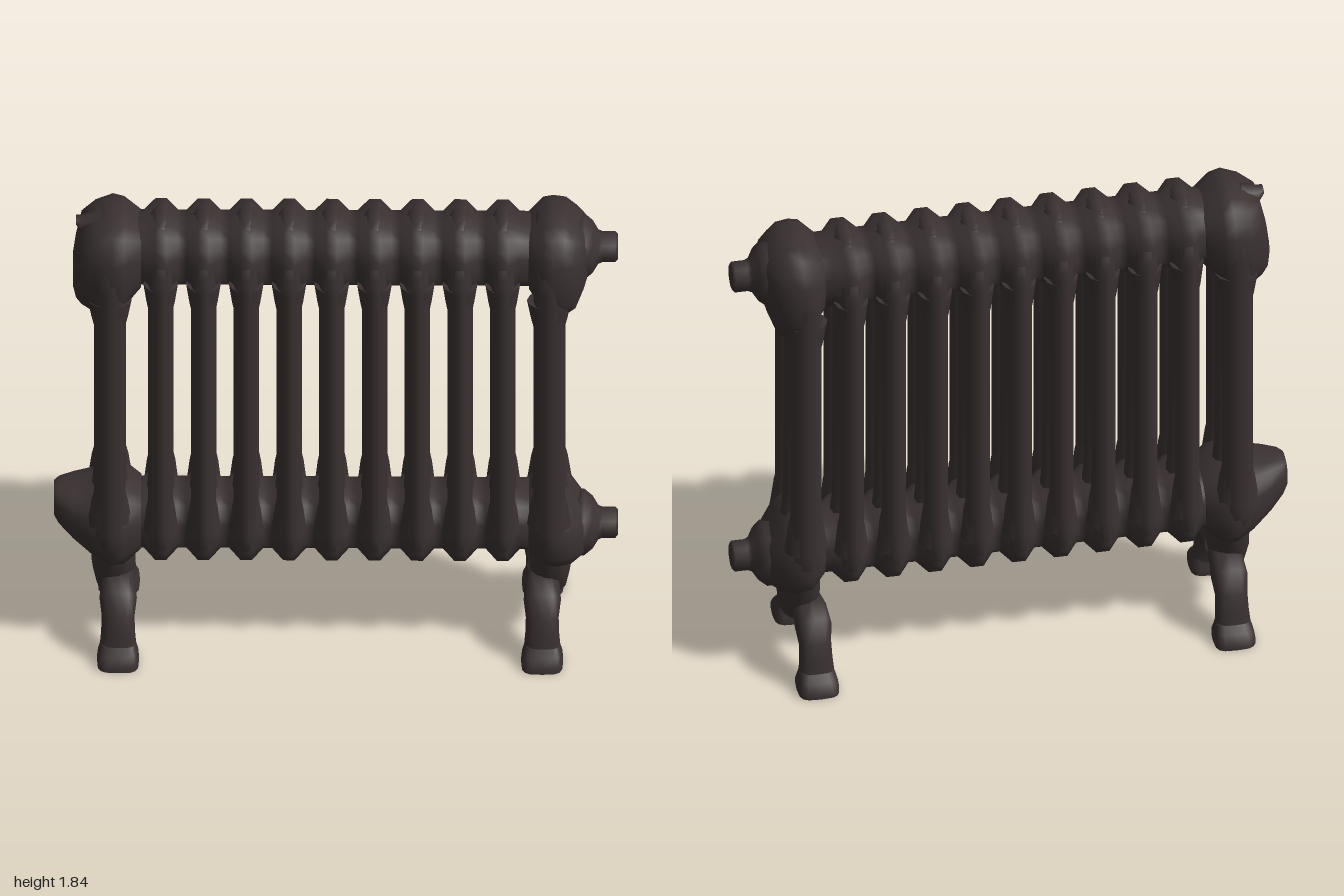
import * as THREE from 'three';

const iron = new THREE.MeshStandardMaterial({ color: 0x3a3131 });
iron.name = 'darkIron';

function add(parent, geometry, name) {
  const mesh = new THREE.Mesh(geometry, iron);
  mesh.name = name;
  parent.add(mesh);
  return mesh;
}

// Skin a list of closed rings (arrays of Vector3) and cap both ends.
function loft(rings) {
  const n = rings[0].length, pos = [];
  let idx = [];
  rings.forEach(r => r.forEach(p => pos.push(p.x, p.y, p.z)));
  for (let i = 0; i < rings.length - 1; i++) {
    for (let j = 0; j < n; j++) {
      const a = i * n + j, b = i * n + (j + 1) % n;
      idx.push(a, b, a + n, b, b + n, a + n);
    }
  }
  [rings[0], rings[rings.length - 1]].forEach((r, k) => {
    const base = pos.length / 3;
    r.forEach(p => pos.push(p.x, p.y, p.z));
    for (let j = 1; j < n - 1; j++) {
      if (k) idx.push(base, base + j, base + j + 1);
      else idx.push(base, base + j + 1, base + j);
    }
  });
  // Turn the skin outward if its signed volume is negative.
  let volume = 0;
  const v = i => new THREE.Vector3().fromArray(pos, i * 3);
  for (let i = 0; i < idx.length; i += 3) volume += v(idx[i]).dot(v(idx[i + 1]).cross(v(idx[i + 2])));
  if (volume < 0) idx = idx.reverse();
  const g = new THREE.BufferGeometry();
  g.setAttribute('position', new THREE.Float32BufferAttribute(pos, 3));
  g.setIndex(idx);
  g.computeVertexNormals();
  return g;
}

// Rounded cross-section points on the unit circle, squarer for lower powers.
function roundel(n, power) {
  return Array.from({ length: n }, (_, i) => {
    const a = i / n * Math.PI * 2, c = Math.cos(a), s = Math.sin(a);
    return [Math.sign(c) * Math.abs(c) ** power, Math.sign(s) * Math.abs(s) ** power];
  });
}

// Body along x from stations [x, top, bottom, half depth].
function bodyX(stations, power = 0.85, n = 20) {
  return loft(stations.map(([x, top, bottom, hz]) => roundel(n, power).map(([c, s]) =>
    new THREE.Vector3(x, (top + bottom) / 2 + s * (top - bottom) / 2, c * hz))));
}

// Body along y from stations [y, half width, half depth, z centre].
function bodyY(stations, power = 1, n = 12) {
  return loft(stations.map(([y, hx, hz, z = 0]) => roundel(n, power).map(([c, s]) =>
    new THREE.Vector3(c * hx, y, z + s * hz))));
}

// One section: an outer loop, and a slim middle column.
function addSection(parent, x, width, slotLow, slotHigh) {
  const section = new THREE.Group();
  section.name = 'section';
  section.position.x = x;
  const R = 0.145, yTop = 1.64, yLow = 0.53, pts = [];
  for (let i = 0; i <= 10; i++) {
    const a = i / 10 * Math.PI;
    pts.push(new THREE.Vector3(0, yTop + R * Math.sin(a), R * Math.cos(a)));
  }
  for (let i = 0; i <= 10; i++) {
    const a = Math.PI + i / 10 * Math.PI;
    pts.push(new THREE.Vector3(0, yLow + R * Math.sin(a), R * Math.cos(a)));
  }
  const path = new THREE.CurvePath();
  pts.forEach((p, i) => path.add(new THREE.LineCurve3(p, pts[(i + 1) % pts.length])));
  const loop = add(section, new THREE.TubeGeometry(path, 110, 0.054, 10, true), 'outerLoop');
  loop.scale.x = width / 0.054;
  add(section, bodyY([
    [slotLow - 0.08, width * 1.3, 0.08], [slotLow, width * 1.1, 0.058], [slotLow + 0.06, width, 0.046],
    [slotHigh - 0.06, width * 0.92, 0.044], [slotHigh, width * 1.1, 0.056], [slotHigh + 0.08, width * 1.3, 0.08]
  ]), 'middleColumn');
  // Flared collars where the outer columns meet the headers.
  for (const z of [-0.135, 0.135]) {
    add(section, bodyY([[slotLow - 0.1, width * 1.4, 0.058, z], [slotLow, width * 1.15, 0.058, z],
      [slotLow + 0.06, width * 0.9, 0.045, z]]), 'lowerCollar');
    add(section, bodyY([[slotHigh - 0.06, width * 0.9, 0.045, z], [slotHigh, width * 1.15, 0.058, z],
      [slotHigh + 0.08, width * 1.4, 0.058, z]]), 'upperCollar');
  }
  parent.add(section);
}

// Threaded plug with a flange, pointing to +x.
function addPlug(parent, y) {
  const profile = [[0, 0.84], [0.12, 0.84], [0.12, 0.875], [0.095, 0.905], [0.062, 0.925],
    [0.056, 0.94], [0.056, 0.985], [0.045, 0.995], [0, 0.995]].map(([r, h]) => new THREE.Vector2(r, h));
  const plug = add(parent, new THREE.LatheGeometry(profile, 9), 'endPlug');
  plug.rotation.z = -Math.PI / 2;
  plug.position.y = y;
}

// Tapered saddle with two bowed legs and splayed feet.
function addLegs(parent, bodyXPos, legX) {
  const stand = new THREE.Group();
  stand.name = 'stand';
  add(stand, bodyY([[0.17, 0.035, 0.04], [0.2, 0.06, 0.075], [0.28, 0.075, 0.115], [0.36, 0.075, 0.14],
    [0.5, 0.06, 0.185]], 0.85, 14), 'saddle').position.x = bodyXPos;
  // Leg stations: z, y, tilt of the cut, half thickness, half width.
  const stations = [[0.03, 0.235, 1.57, 0.05, 0.055], [0.1, 0.245, 1.4, 0.052, 0.062], [0.15, 0.222, 0.95, 0.056, 0.066],
    [0.185, 0.17, 0.4, 0.05, 0.058], [0.198, 0.11, 0.2, 0.044, 0.06], [0.21, 0.045, 0, 0.046, 0.066],
    [0.21, 0.02, 0, 0.05, 0.068]];
  for (const side of [1, -1]) {
    add(stand, loft(stations.map(([z, y, t, h, w]) => roundel(12, 0.8).map(([c, s]) =>
      new THREE.Vector3(legX + c * w, y + s * h * Math.sin(t), side * (z + s * h * Math.cos(t)))))), 'leg');
    add(stand, loft([[0, 0.074, 0.073, 0.225], [0.025, 0.074, 0.073, 0.225], [0.05, 0.068, 0.055, 0.22],
      [0.075, 0.06, 0.04, 0.21]].map(([y, w, d, z]) => roundel(16, 0.55).map(([c, s]) =>
      new THREE.Vector3(legX + c * w, y, side * (z + s * d))))), 'foot');
  }
  parent.add(stand);
}

export function createModel() {
  const model = new THREE.Group();
  model.name = 'columnRadiator';

  // Inner sections and the ribbed headers that join them.
  const first = -0.62, pitch = 0.151, count = 9;
  const upper = [[-0.78, 1.795, 1.55, 0.135]], lower = [[-0.78, 0.61, 0.38, 0.135]];
  for (let i = 0; i < count; i++) {
    const x = first + i * pitch;
    addSection(model, x, 0.044, 0.62, 1.54);
    for (const [dx, k] of [[-0.06, 0], [-0.02, 1], [0.02, 1], [0.06, 0]]) {
      upper.push([x + dx, 1.798 + 0.03 * k, 1.555 - 0.03 * k, 0.135 + 0.05 * k]);
      lower.push([x + dx, 0.605 + 0.025 * k, 0.38 - 0.035 * k, 0.135 + 0.05 * k]);
    }
  }
  upper.push([0.75, 1.795, 1.55, 0.135]);
  lower.push([0.75, 0.61, 0.38, 0.135]);
  add(model, bodyX(upper), 'upperHeader');
  add(model, bodyX(lower), 'lowerHeader');

  // Wider end sections.
  addSection(model, 0.752, 0.056, 0.65, 1.47);
  addSection(model, -0.8, 0.056, 0.65, 1.47);

  // Swollen end chambers.
  add(model, bodyX([[0.68, 1.79, 1.55, 0.14], [0.73, 1.835, 1.48, 0.19], [0.765, 1.842, 1.45, 0.197],
    [0.81, 1.838, 1.45, 0.19], [0.845, 1.815, 1.47, 0.165], [0.875, 1.79, 1.55, 0.13], [0.89, 1.76, 1.6, 0.09]], 0.75), 'upperRightChamber');
  add(model, bodyX([[0.68, 0.61, 0.38, 0.14], [0.73, 0.66, 0.33, 0.19], [0.78, 0.67, 0.32, 0.19],
    [0.83, 0.6, 0.33, 0.165], [0.87, 0.55, 0.355, 0.12], [0.89, 0.52, 0.38, 0.08]], 0.8), 'lowerRightChamber');
  add(model, bodyX([[-0.69, 1.79, 1.55, 0.14], [-0.75, 1.83, 1.48, 0.19], [-0.79, 1.842, 1.45, 0.197],
    [-0.85, 1.82, 1.45, 0.185], [-0.9, 1.79, 1.47, 0.14], [-0.92, 1.7, 1.49, 0.105], [-0.93, 1.63, 1.53, 0.07]], 0.75), 'upperLeftChamber');
  add(model, bodyX([[-0.69, 0.61, 0.38, 0.14], [-0.75, 0.65, 0.33, 0.19], [-0.8, 0.66, 0.32, 0.19],
    [-0.86, 0.63, 0.36, 0.165], [-0.93, 0.625, 0.42, 0.125], [-0.98, 0.62, 0.47, 0.085], [-0.998, 0.61, 0.5, 0.06]], 0.8), 'lowerLeftChamber');

  // Small vent nib on the upper left corner.
  add(model, bodyX([[-0.84, 1.83, 1.74, 0.05], [-0.9, 1.81, 1.75, 0.035], [-0.92, 1.81, 1.785, 0.025]], 1, 8), 'ventNib');

  addPlug(model, 1.685);
  addPlug(model, 0.452);

  addLegs(model, 0.755, 0.728);
  addLegs(model, -0.79, -0.77);
  return model;
}
